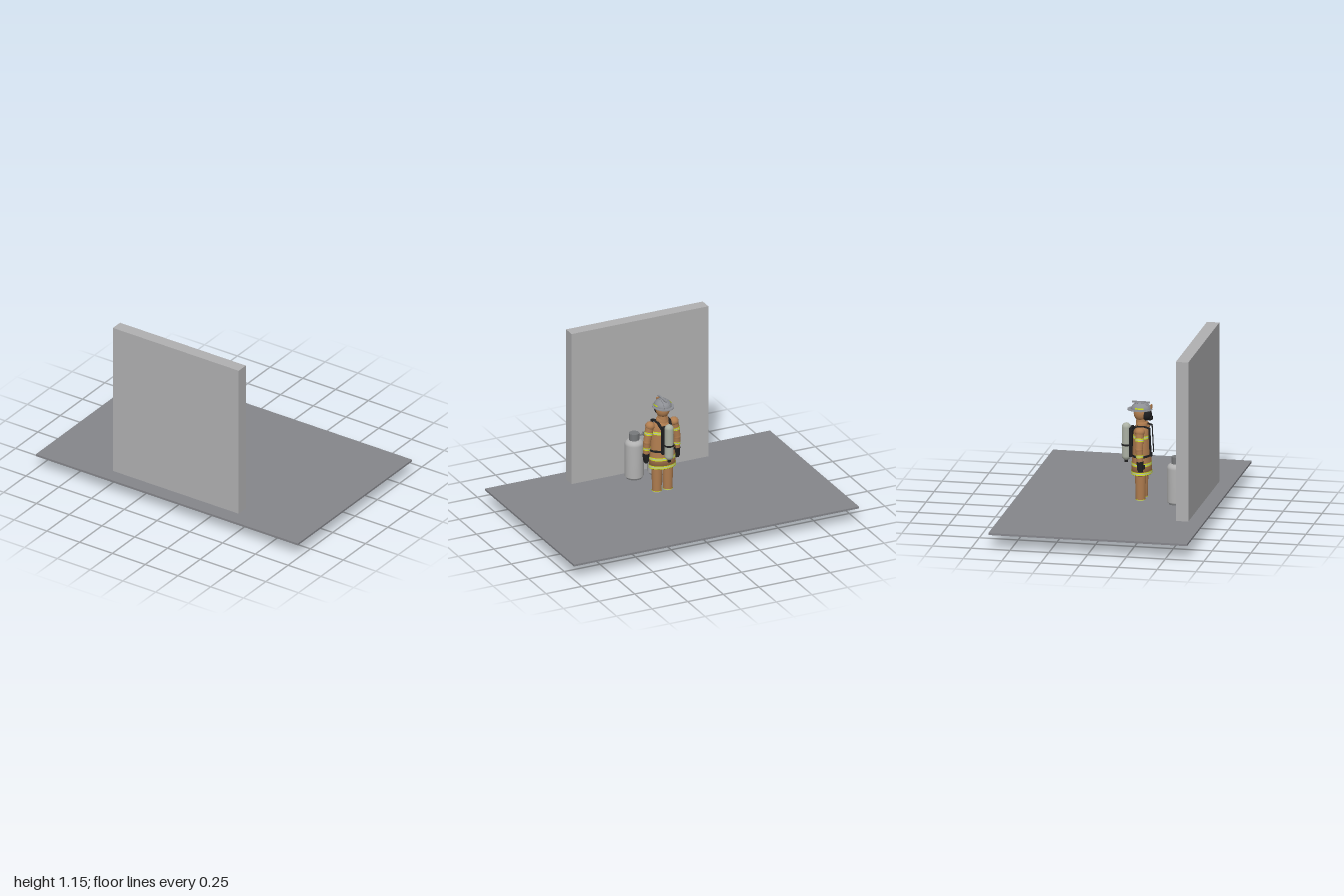
import * as THREE from 'three';

const mat = (name, color) => Object.assign(new THREE.MeshStandardMaterial({ color }), { name });

export function createModel() {
  const M = {
    floor: mat('floor grey', 0x85868b),
    wall: mat('wall grey', 0xb0b0b1),
    gas: mat('gas cylinder grey', 0xb2b2b2),
    steel: mat('dark steel', 0x77797b),
    tan: mat('turnout tan', 0xb07d4f),
    black: mat('black rubber', 0x1f1f20),
    lime: mat('reflective lime', 0xd2e81c),
    silver: mat('reflective silver', 0xb9bcba),
    helmet: mat('helmet grey', 0x8d8f94),
    bottle: mat('air bottle grey', 0xabb0a3),
  };
  M.lime.side = M.silver.side = M.black.side = THREE.DoubleSide;

  const root = new THREE.Group();
  const group = (name, parent = root) => {
    const g = new THREE.Group();
    g.name = name;
    parent.add(g);
    return g;
  };
  const add = (parent, name, geo, material, x = 0, y = 0, z = 0) => {
    const m = new THREE.Mesh(geo, material);
    m.name = name;
    m.position.set(x, y, z);
    parent.add(m);
    return m;
  };
  const box = (p, name, m, w, h, d, x, y, z) => add(p, name, new THREE.BoxGeometry(w, h, d), m, x, y, z);
  const cyl = (p, name, m, rTop, rBot, y0, y1, x, z, n = 20, open = false) =>
    add(p, name, new THREE.CylinderGeometry(rTop, rBot, y1 - y0, n, 1, open), m, x, (y0 + y1) / 2, z);
  const ball = (p, name, m, rx, ry, rz, x, y, z) => {
    const s = add(p, name, new THREE.SphereGeometry(1, 24, 16), m, x, y, z);
    s.scale.set(rx, ry, rz);
    return s;
  };
  const lathe = (p, name, m, pts, x, z, sx = 1, n = 28) => {
    const l = add(p, name, new THREE.LatheGeometry(pts.map(q => new THREE.Vector2(...q)), n), m, x, 0, z);
    l.scale.x = sx;
    return l;
  };
  // Limb between two points, placed with its top at a and its bottom at b
  const limb = (p, name, m, a, b, rTop, rBot, n = 16, open = false) => {
    const A = new THREE.Vector3(...a), B = new THREE.Vector3(...b);
    const l = add(p, name, new THREE.CylinderGeometry(rTop, rBot, A.distanceTo(B), n, 1, open), m);
    l.position.copy(A).add(B).multiplyScalar(0.5);
    l.quaternion.setFromUnitVectors(new THREE.Vector3(0, 1, 0), A.sub(B).normalize());
    return l;
  };
  // Lime, silver, lime stripe around a body of revolution
  const stripe = (p, name, y, h, radius, x, z, sx = 1) => {
    [M.lime, M.silver, M.lime].forEach((m, i) => {
      const y0 = y + (i - 1.5) * h / 3, y1 = y0 + h / 3;
      lathe(p, name, m, [[radius(y0), y0], [radius(y1), y1]], x, z, sx);
    });
  };

  // Setting
  box(root, 'floor', M.floor, 2, 0.013, 1.28, 0, 0.096, 0);
  box(root, 'wall', M.wall, 0.96, 1.042, 0.08, 0, 0.623, 0.5);

  // Pair of gas cylinders joined by a valve
  const gas = group('gasCylinders');
  for (const s of [-1, 1]) {
    const x = 0.08 * s, z = 0.381;
    cyl(gas, 'footRing', M.steel, 0.05, 0.05, 0.102, 0.118, x, z, 16);
    lathe(gas, 'cylinderBody', M.gas, [[0, 0.114], [0.058, 0.114], [0.061, 0.119], [0.061, 0.335],
      [0.058, 0.348], [0.05, 0.358], [0.036, 0.366], [0, 0.368]], x, z);
    cyl(gas, 'valveCollar', M.steel, 0.034, 0.034, 0.364, 0.411, x, z, 10);
  }
  const pipe = cyl(gas, 'connectingPipe', M.steel, 0.005, 0.005, -0.05, 0.05, 0, 0.383, 10);
  pipe.rotation.z = Math.PI / 2;
  pipe.position.y = 0.388;
  box(gas, 'regulator', M.steel, 0.026, 0.026, 0.022, 0, 0.388, 0.383);

  const figure = group('firefighter');
  const Z = 0.14;

  // Legs and boots
  for (const s of [-1, 1]) {
    const x = 0.038 * s, leg = group(s > 0 ? 'leftLeg' : 'rightLeg', figure);
    box(leg, 'bootSole', M.black, 0.054, 0.01, 0.106, x, 0.005, 0.159);
    ball(leg, 'bootToe', M.black, 0.026, 0.021, 0.03, x, 0.018, 0.182);
    box(leg, 'bootFoot', M.black, 0.048, 0.026, 0.075, x, 0.02, 0.15);
    cyl(leg, 'bootShaft', M.black, 0.027, 0.026, 0.02, 0.066, x, Z);
    cyl(leg, 'trouserLeg', M.tan, 0.036, 0.029, 0.062, 0.3, x, Z);
    const r = y => 0.031 + 0.029 * (y - 0.062);
    stripe(leg, 'cuffStripe', 0.08, 0.018, r, x, Z);
    stripe(leg, 'ankleStripe', 0.104, 0.012, r, x, Z);
  }

  // Coat
  const coat = group('coat', figure);
  const profile = [[0.27, 0.065], [0.34, 0.061], [0.4, 0.057], [0.5, 0.054], [0.55, 0.049], [0.578, 0.036], [0.588, 0.022]];
  const coatR = y => {
    const i = Math.max(1, profile.findIndex(q => q[0] >= y)), [a, b] = [profile[i - 1], profile[i]];
    return a[1] + (b[1] - a[1]) * (y - a[0]) / (b[0] - a[0]) + 0.0015;
  };
  lathe(coat, 'coatBody', M.tan, [[0, 0.27], ...profile.map(q => [q[1], q[0]]), [0, 0.59]], 0, Z, 1.4);
  for (const y of [0.282, 0.337, 0.514]) stripe(coat, 'coatStripe', y, 0.02, coatR, 0, Z, 1.4);
  lathe(coat, 'coatCollar', M.tan, [[0.038, 0.57], [0.037, 0.595], [0.031, 0.606], [0, 0.606]], 0, Z, 1.1);

  // Arms and gloves
  for (const s of [-1, 1]) {
    const arm = group(s > 0 ? 'leftArm' : 'rightArm', figure);
    const sh = [0.084 * s, 0.558, 0.145], el = [0.105 * s, 0.45, 0.145], wr = [0.108 * s, 0.35, 0.152];
    const along = (a, b, t) => a.map((v, i) => v + (b[i] - v) * t);
    ball(arm, 'shoulder', M.tan, 0.03, 0.028, 0.032, ...sh);
    limb(arm, 'upperArm', M.tan, sh, el, 0.028, 0.024);
    ball(arm, 'elbow', M.tan, 0.0245, 0.025, 0.0245, ...el);
    limb(arm, 'forearm', M.tan, el, wr, 0.024, 0.02);
    [M.lime, M.silver, M.lime].forEach((m, i) => {
      const t = 0.36 + i * 0.06, u = 0.34 + i * 0.06;
      limb(arm, 'upperArmStripe', m, along(sh, el, t), along(sh, el, t + 0.06), 0.0285, 0.0283, 16, true);
      limb(arm, 'forearmStripe', m, along(el, wr, u), along(el, wr, u + 0.06), 0.0245, 0.0243, 16, true);
    });
    limb(arm, 'gloveCuff', M.black, along(el, wr, 0.78), along(el, wr, 1.05), 0.022, 0.021);
    box(arm, 'glovePalm', M.black, 0.024, 0.04, 0.036, 0.109 * s, 0.335, 0.153);
    box(arm, 'gloveFingers', M.black, 0.018, 0.022, 0.03, 0.108 * s, 0.315, 0.154);
    box(arm, 'gloveThumb', M.black, 0.01, 0.026, 0.012, 0.104 * s, 0.336, 0.175);
  }

  // Hooded head with breathing mask
  const head = group('head', figure);
  cyl(head, 'hoodNeck', M.tan, 0.03, 0.034, 0.595, 0.635, 0, 0.137);
  ball(head, 'hood', M.tan, 0.044, 0.052, 0.046, 0, 0.66, 0.135);
  ball(head, 'maskVisor', M.black, 0.039, 0.04, 0.034, 0, 0.654, 0.171);
  const port = cyl(head, 'maskRegulator', M.black, 0.015, 0.018, -0.012, 0.012, 0, 0.197, 14);
  port.rotation.x = Math.PI / 2;
  port.position.y = 0.632;

  // Helmet
  const helmet = group('helmet', figure);
  const dome = add(helmet, 'helmetShell', new THREE.SphereGeometry(1, 28, 10, 0, Math.PI * 2, 0, Math.PI / 2), M.helmet, 0, 0.686, 0.135);
  dome.scale.set(0.056, 0.046, 0.064);
  const brim = cyl(helmet, 'helmetBrim', M.helmet, 1, 1, 0.683, 0.688, 0, 0.128, 32);
  brim.scale.set(0.068, 1, 0.08);
  box(helmet, 'helmetComb', M.helmet, 0.012, 0.009, 0.115, 0, 0.732, 0.136);
  for (const s of [-1, 1]) {
    const rib = add(helmet, 'helmetRib', new THREE.TorusGeometry(1, 0.045, 6, 20, Math.PI), M.helmet, 0.017 * s, 0.686, 0.135);
    rib.rotation.y = Math.PI / 2;
    rib.scale.set(0.061, 0.0445, 0.06);
    const band = add(helmet, 'helmetReflector', new THREE.CylinderGeometry(0.985, 0.997, 0.009, 8, 1, true, Math.PI / 2 - 0.45, 0.9), M.lime, 0, 0.7, 0.135);
    band.scale.set(0.0565 * s, 1, 0.0645);
  }
  box(helmet, 'frontBadge', M.tan, 0.026, 0.024, 0.008, 0, 0.706, 0.202).rotation.x = -0.1;

  // Breathing apparatus: bottle, back plate and harness
  const pack = group('breathingApparatus', figure);
  add(pack, 'airBottle', new THREE.CapsuleGeometry(0.029, 0.187, 8, 20), M.bottle, 0, 0.47, 0.041);
  cyl(pack, 'bottleValve', M.black, 0.012, 0.012, 0.335, 0.352, 0, 0.041, 10);
  box(pack, 'backPlate', M.black, 0.07, 0.19, 0.017, 0, 0.472, 0.075);
  cyl(pack, 'bottleStrap', M.black, 0.0305, 0.0305, 0.444, 0.456, 0, 0.041, 20, true);
  lathe(pack, 'waistBelt', M.black, [[coatR(0.385) + 0.003, 0.385], [coatR(0.4) + 0.003, 0.4]], 0, Z, 1.4);
  box(pack, 'beltBuckle', M.black, 0.03, 0.022, 0.008, 0, 0.393, 0.203);
  for (const s of [-1, 1]) {
    const path = [[0.032, 0.55, 0.08], [0.042, 0.582, 0.12], [0.044, 0.583, 0.165], [0.044, 0.573, 0.198], [0.046, 0.4, 0.207]];
    for (let i = 1; i < path.length; i++) {
      const [a, b] = [path[i - 1], path[i]].map(q => new THREE.Vector3(q[0] * s, q[1], q[2]));
      const strap = box(pack, 'shoulderStrap', M.black, 0.018, 0.007, a.distanceTo(b) + 0.004, 0, 0, 0);
      strap.position.copy(a).add(b).multiplyScalar(0.5);
      strap.lookAt(b);
    }
  }
  return root;
}
